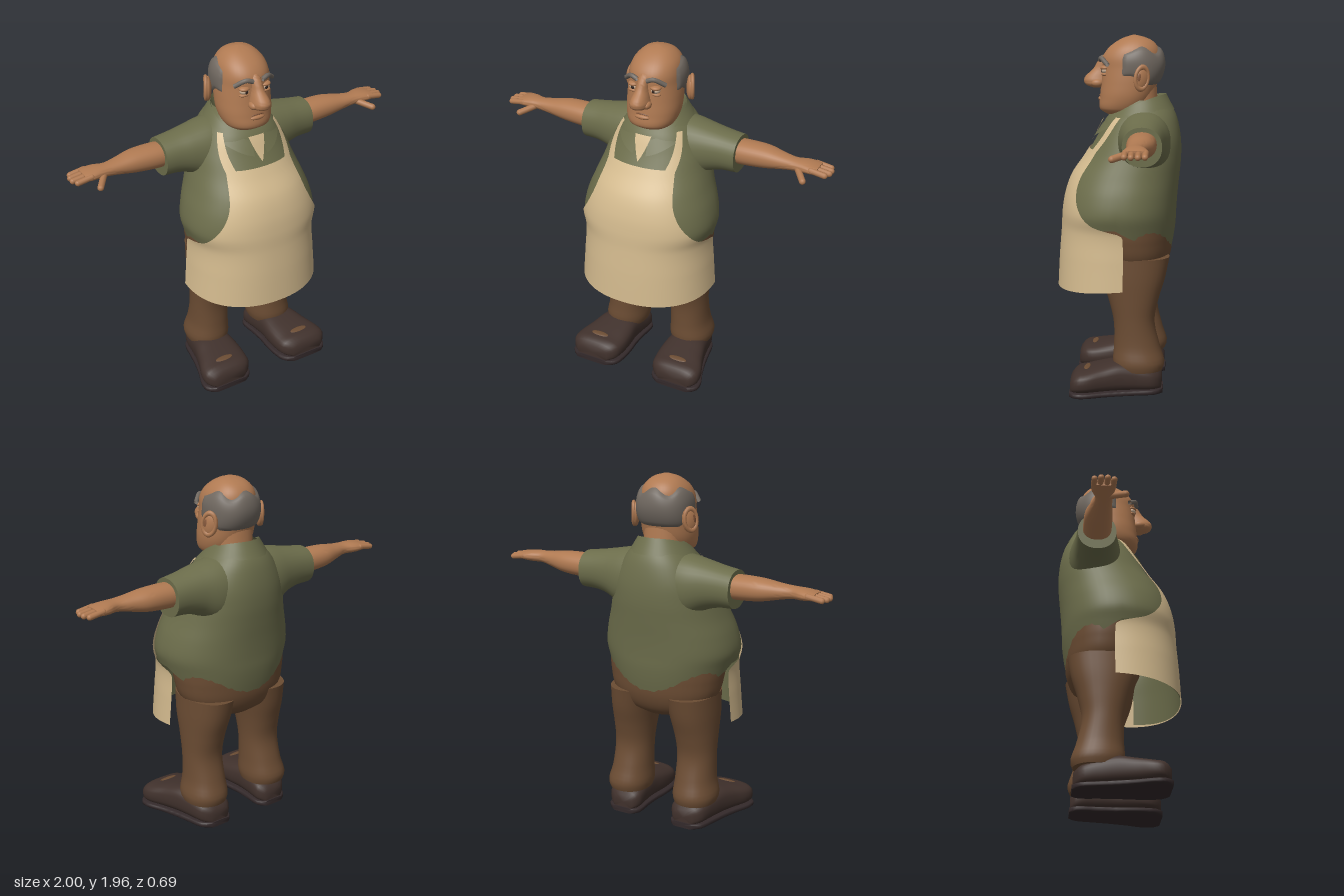
import * as THREE from 'three';
import { mergeVertices, toCreasedNormals } from 'three/addons/utils/BufferGeometryUtils.js';

const paint = (name, color, double) => {
  const m = new THREE.MeshStandardMaterial({ color });
  m.name = name;
  if (double) m.side = THREE.DoubleSide;
  return m;
};

// Smooth interpolation of a table whose first column is the position
function sample(rows, t) {
  const last = rows.length - 1;
  let i = 0;
  while (i < last - 1 && t > rows[i + 1][0]) i++;
  const p = rows[i], q = rows[i + 1], h = q[0] - p[0];
  const k = Math.min(1, Math.max(0, (t - p[0]) / h));
  const slope = (j, c) => {
    const a = rows[Math.max(0, j - 1)], b = rows[Math.min(last, j + 1)];
    return (b[c] - a[c]) / (b[0] - a[0]);
  };
  return p.map((_, c) => {
    if (c === 0) return t;
    const k2 = k * k, k3 = k2 * k;
    return (2 * k3 - 3 * k2 + 1) * p[c] + (k3 - 2 * k2 + k) * h * slope(i, c)
      + (3 * k2 - 2 * k3) * q[c] + (k3 - k2) * h * slope(i + 1, c);
  });
}

// Surface patch from a rule f(u, v) -> [x, y, z]
function grid(f, nu, nv, crease = 0.9) {
  const pos = [], idx = [];
  for (let j = 0; j <= nv; j++) for (let i = 0; i <= nu; i++) pos.push(...f(i / nu, j / nv));
  for (let j = 0; j < nv; j++) for (let i = 0; i < nu; i++) {
    const a = j * (nu + 1) + i, c = a + nu + 1;
    idx.push(a, a + 1, c, a + 1, c + 1, c);
  }
  const g = new THREE.BufferGeometry();
  g.setAttribute('position', new THREE.Float32BufferAttribute(pos, 3));
  g.setIndex(idx);
  return toCreasedNormals(mergeVertices(g, 1e-5), crease);
}

// Point on a body given rows [t, centre, radius, front, back] along an axis
function skinPoint(rows, angle, t, off = 0, axis = 'y', n = 2.2, shrink = 1) {
  const [, ca, ra, front, back] = sample(rows, t);
  const bend = (s) => Math.sign(s) * Math.abs(s) ** (2 / n) * shrink;
  const a = ca + (ra + off) * bend(Math.sin(angle));
  const b = (front + back) / 2 + ((front - back) / 2 + off) * bend(Math.cos(angle));
  return axis === 'y' ? [a, t, b] : axis === 'x' ? [t, b, a] : [b, a, t];
}

// Closed loft with capped ends
function loft(rows, { axis = 'y', n = 2.2, nu = 32, nv = 28 } = {}) {
  const t0 = rows[0][0], t1 = rows[rows.length - 1][0];
  return grid((u, v) => {
    const j = Math.round(v * nv), end = j === 0 || j === nv;
    const k = Math.min(1, Math.max(0, (j - 1) / (nv - 2)));
    return skinPoint(rows, u * Math.PI * 2, t0 + (t1 - t0) * k, 0, axis, n, end ? 0 : 1);
  }, nu, nv);
}

function mirrored(geo) {
  const g = geo.index ? geo.toNonIndexed() : geo.clone();
  g.scale(-1, 1, 1);
  for (const a of Object.values(g.attributes)) {
    for (let i = 0; i < a.count; i += 3) for (let c = 0; c < a.itemSize; c++) {
      const s = a.getComponent(i, c);
      a.setComponent(i, c, a.getComponent(i + 1, c));
      a.setComponent(i + 1, c, s);
    }
  }
  return g;
}

function capsule(p, q, r) {
  const a = new THREE.Vector3(...p), b = new THREE.Vector3(...q), d = b.clone().sub(a);
  const g = new THREE.CapsuleGeometry(r, d.length(), 5, 10);
  g.applyQuaternion(new THREE.Quaternion().setFromUnitVectors(new THREE.Vector3(0, 1, 0), d.clone().normalize()));
  return g.translate(...a.add(b).multiplyScalar(0.5).toArray());
}

const ball = (x, y, z, rx, ry, rz, tilt = 0, turn = 0) =>
  new THREE.SphereGeometry(1, 20, 14).scale(rx, ry, rz).rotateX(tilt).rotateY(turn).translate(x, y, z);

const TORSO = [
  [0.76, 0, 0.315, 0.29, -0.285], [0.85, 0, 0.345, 0.305, -0.302], [0.93, 0, 0.368, 0.312, -0.312],
  [1.0, 0, 0.385, 0.312, -0.315], [1.1, 0, 0.368, 0.295, -0.322], [1.2, 0, 0.333, 0.258, -0.332],
  [1.3, 0, 0.3, 0.19, -0.34], [1.4, 0, 0.27, 0.13, -0.337], [1.5, 0, 0.215, 0.08, -0.318],
  [1.56, 0, 0.165, 0.03, -0.292], [1.61, 0, 0.125, 0, -0.25]];
const APRON = [
  [0.56, 0, 0.385, 0.34, -0.34], [0.75, 0, 0.37, 0.33, -0.33], [0.9, 0, 0.362, 0.318, -0.32],
  ...TORSO.filter((r) => r[0] >= 1)];
const APRON_EDGE = [[0.56, 1.66], [0.88, 1.66], [0.91, 1.6], [0.95, 1.2], [1.03, 0.9], [1.13, 0.74], [1.25, 0.71], [1.36, 0.72]];
const HEAD = [
  [1.53, 0, 0.095, 0.075, -0.11], [1.555, 0, 0.125, 0.112, -0.14], [1.62, 0, 0.146, 0.112, -0.18],
  [1.7, 0, 0.148, 0.105, -0.205], [1.78, 0, 0.143, 0.1, -0.222], [1.84, 0, 0.138, 0.096, -0.222],
  [1.89, 0, 0.122, 0.064, -0.21], [1.93, 0, 0.088, 0.012, -0.175], [1.952, 0, 0.05, -0.035, -0.125], [1.96, 0, 0.015, -0.065, -0.09]];

export function createModel() {
  const skin = paint('skin', 0xb07a52), shirt = paint('shirt', 0x6c6d4b, true);
  const cloth = paint('apron cloth', 0xd3ba8e, true), trousers = paint('trousers', 0x6b4c33);
  const leather = paint('shoe leather', 0x40312c), rubber = paint('sole', 0x33292a);
  const grey = paint('grey hair', 0x706860, true), crease = paint('dark skin', 0x85583c);
  const white = paint('eye white', 0xcdb297), dark = paint('iris', 0x33251f);
  const model = new THREE.Group();
  const add = (name, geo, mat) => {
    const m = new THREE.Mesh(geo, mat);
    m.name = name;
    model.add(m);
  };
  const pair = (name, geo, mat) => {
    add(name + 'Left', geo, mat);
    add(name + 'Right', mirrored(geo), mat);
  };
  const mix = THREE.MathUtils.lerp, TAU = Math.PI * 2;

  // Shirt body with a hem that dips at the back, and sleeves
  add('shirtBody', grid((u, v) => {
    const low = 0.93 - 0.15 * Math.max(0, -Math.cos(u * TAU)) ** 0.8;
    return skinPoint(TORSO, u * TAU, mix(low, 1.61, v));
  }, 56, 40), shirt);
  pair('sleeve', loft([
    [0.1, -0.14, 0.15, 1.56, 1.2], [0.2, -0.14, 0.145, 1.548, 1.21], [0.3, -0.14, 0.125, 1.528, 1.265],
    [0.38, -0.143, 0.112, 1.513, 1.288], [0.47, -0.145, 0.105, 1.5, 1.292]], { axis: 'x' }), shirt);

  // Folded collar, open at the front with hanging points
  const collarRing = (a, rx, front, back, yFront, yBack) => {
    const c = (1 + Math.cos(a)) / 2;
    return [rx * Math.sin(a), mix(yBack, yFront, c ** 1.5), mix(back, front, c)];
  };
  add('collar', grid((u, v) => {
    const a = mix(0.2, TAU - 0.2, u), tip = 0.03 * Math.max(0, Math.cos(a)) ** 3;
    const inner = collarRing(a, 0.135, 0.08, -0.225, 1.44, 1.57);
    const top = collarRing(a, 0.148, 0.1, -0.255, 1.475, 1.64);
    const outer = collarRing(a, 0.2, 0.15, -0.3, 1.43 - tip, 1.555);
    const [p, q, k] = v < 0.5 ? [outer, top, v * 2] : [top, inner, v * 2 - 1];
    return p.map((x, i) => mix(x, q[i], k));
  }, 48, 6), shirt);
  add('undershirt', grid((u, v) => {
    const y = mix(1.37, 1.5, v);
    return skinPoint(TORSO, (u - 0.5) * 0.36 * v, y, 0.016);
  }, 6, 6), cloth);

  // Apron: bib and wrapped skirt, straps, inner lining
  const apronPoint = (s, v, top, off, spread) => {
    const y = mix(0.572 + 0.03 * s * s, top, v);
    return skinPoint(APRON, s * spread(y), y, off);
  };
  const edge = (y) => sample(APRON_EDGE, y)[1];
  add('apron', grid((u, v) => apronPoint(u * 2 - 1, v, 1.345, 0.009, edge), 48, 60), cloth);
  add('apronLining', grid((u, v) => apronPoint(1 - u * 2, v, 0.92, 0.003, () => 1.25), 32, 12), shirt);
  pair('apronStrap', grid((u, v) => {
    const y = mix(1.335, 1.52, v);
    return skinPoint(TORSO, mix(mix(0.5, 0.84, v), mix(0.72, 1.02, v), u), y, 0.009);
  }, 6, 12), cloth);

  // Trousers
  add('trouserSeat', loft([
    [0.63, 0, 0.12, 0.02, -0.2], [0.67, 0, 0.24, 0.07, -0.25], [0.75, 0, 0.312, 0.12, -0.285],
    [0.85, 0, 0.338, 0.15, -0.295], [0.93, 0, 0.345, 0.16, -0.295]]), trousers);
  pair('trouserLeg', loft([
    [0.13, 0.215, 0.115, 0.01, -0.25], [0.17, 0.215, 0.125, 0.025, -0.262], [0.26, 0.208, 0.112, 0.02, -0.235],
    [0.4, 0.205, 0.108, 0.022, -0.205], [0.52, 0.2, 0.115, 0.05, -0.225], [0.64, 0.19, 0.127, 0.09, -0.26],
    [0.76, 0.175, 0.14, 0.11, -0.285]]), trousers);

  // Shoes, turned slightly outward
  const SHOE = [[-0.245, 0.2, 0.06, 0.1], [-0.21, 0.205, 0.098, 0.13], [-0.1, 0.22, 0.11, 0.165], [-0.02, 0.23, 0.118, 0.178],
    [0.07, 0.24, 0.135, 0.162], [0.16, 0.258, 0.15, 0.142], [0.22, 0.265, 0.14, 0.13], [0.25, 0.268, 0.1, 0.1]];
  pair('shoe', loft(SHOE.map(([z, x, r, h]) => [z, h / 2 + 0.01, h / 2 - 0.005, x + r, x - r]), { axis: 'z', n: 2.9 }), leather);
  pair('sole', loft(SHOE.map(([z, x, r]) => [z * 1.03, 0.016, 0.016, x + r * 1.02, x - r * 1.02]), { axis: 'z', n: 6 }), rubber);
  pair('wornToe', ball(0.26, 0.146, 0.165, 0.055, 0.005, 0.018, 0.2), trousers);

  // Arms and hands
  pair('arm', loft([
    [0.4, -0.145, 0.075, 1.472, 1.345], [0.5, -0.145, 0.078, 1.478, 1.345], [0.62, -0.145, 0.073, 1.475, 1.355],
    [0.72, -0.135, 0.055, 1.46, 1.375], [0.79, -0.128, 0.046, 1.453, 1.387], [0.85, -0.135, 0.06, 1.452, 1.39],
    [0.9, -0.136, 0.066, 1.445, 1.395], [0.925, -0.136, 0.062, 1.438, 1.402]], { axis: 'x' }), skin);
  [[-0.186, 0.97], [-0.153, 0.983], [-0.119, 0.984], [-0.086, 0.97]].forEach(([z, x], i) =>
    pair('finger' + (i + 1), capsule([0.89, 1.424, z], [x, 1.412, z], 0.016), skin));
  pair('thumb', capsule([0.815, 1.41, -0.1], [0.875, 1.388, -0.02], 0.018), skin);

  // Head, neck and ears
  add('neck', loft([[1.4, 0, 0.12, 0.03, -0.22], [1.55, 0, 0.112, 0.02, -0.21], [1.7, 0, 0.115, 0.02, -0.2]]), skin);
  add('head', loft(HEAD, { nv: 40, nu: 40 }), skin);
  pair('ear', ball(0.168, 1.73, -0.125, 0.022, 0.068, 0.044, -0.15, 0.5), skin);
  pair('earRim', new THREE.TorusGeometry(0.042, 0.011, 8, 20).scale(0.9, 1.4, 1)
    .rotateY(Math.PI / 2).rotateX(-0.15).rotateY(0.5).translate(0.178, 1.735, -0.128), skin);
  pair('earHollow', ball(0.183, 1.735, -0.12, 0.01, 0.036, 0.022, -0.15, 0.5), crease);

  // Horseshoe of hair around the back of the head
  add('hair', grid((u, v) => {
    const a = mix(1.32, TAU - 1.32, u), back = Math.min(1, Math.max(0, (-Math.cos(a) - 0.1) * 2));
    const y = mix(mix(1.74, 1.69, back), 1.885 - 0.02 * Math.cos(u * TAU * 3), v);
    const rise = Math.sin(Math.PI * v) ** 0.4 * Math.sin(Math.PI * u) ** 0.3;
    return skinPoint(HEAD, a, y, -0.004 + 0.029 * rise);
  }, 40, 14), grey);

  // Nose and mouth
  add('nose', loft([
    [1.672, 0, 0.03, 0.15, 0.05], [1.685, 0, 0.047, 0.188, 0.05], [1.71, 0, 0.05, 0.202, 0.05], [1.735, 0, 0.043, 0.192, 0.05],
    [1.775, 0, 0.032, 0.15, 0.04], [1.82, 0, 0.03, 0.122, 0.03], [1.855, 0, 0.03, 0.09, 0.02]], { nu: 20 }), skin);
  pair('nostril', ball(0.042, 1.698, 0.125, 0.02, 0.021, 0.032), skin);
  add('mouth', new THREE.TubeGeometry(new THREE.CatmullRomCurve3(
    [-0.075, -0.04, 0, 0.04, 0.075].map((x) => new THREE.Vector3(x, 1.632 - 4 * x * x, 0.112 - 5.5 * x * x))), 20, 0.004, 6), crease);
  add('lowerLip', ball(0, 1.612, 0.104, 0.045, 0.014, 0.018), skin);

  // Sleepy eyes and heavy brows
  pair('eye', ball(0.064, 1.77, 0.076, 0.027, 0.02, 0.024), white);
  pair('iris', ball(0.062, 1.768, 0.097, 0.009, 0.011, 0.005), dark);
  pair('upperLid', ball(0.065, 1.783, 0.077, 0.031, 0.014, 0.028), skin);
  pair('eyeBag', ball(0.066, 1.748, 0.078, 0.03, 0.01, 0.02), skin);
  pair('brow', new THREE.TubeGeometry(new THREE.CatmullRomCurve3([[0.028, 1.825, 0.108], [0.065, 1.836, 0.1], [0.118, 1.802, 0.062]]
    .map((p) => new THREE.Vector3(...p))), 12, 0.013, 8), grey);
  return model;
}
